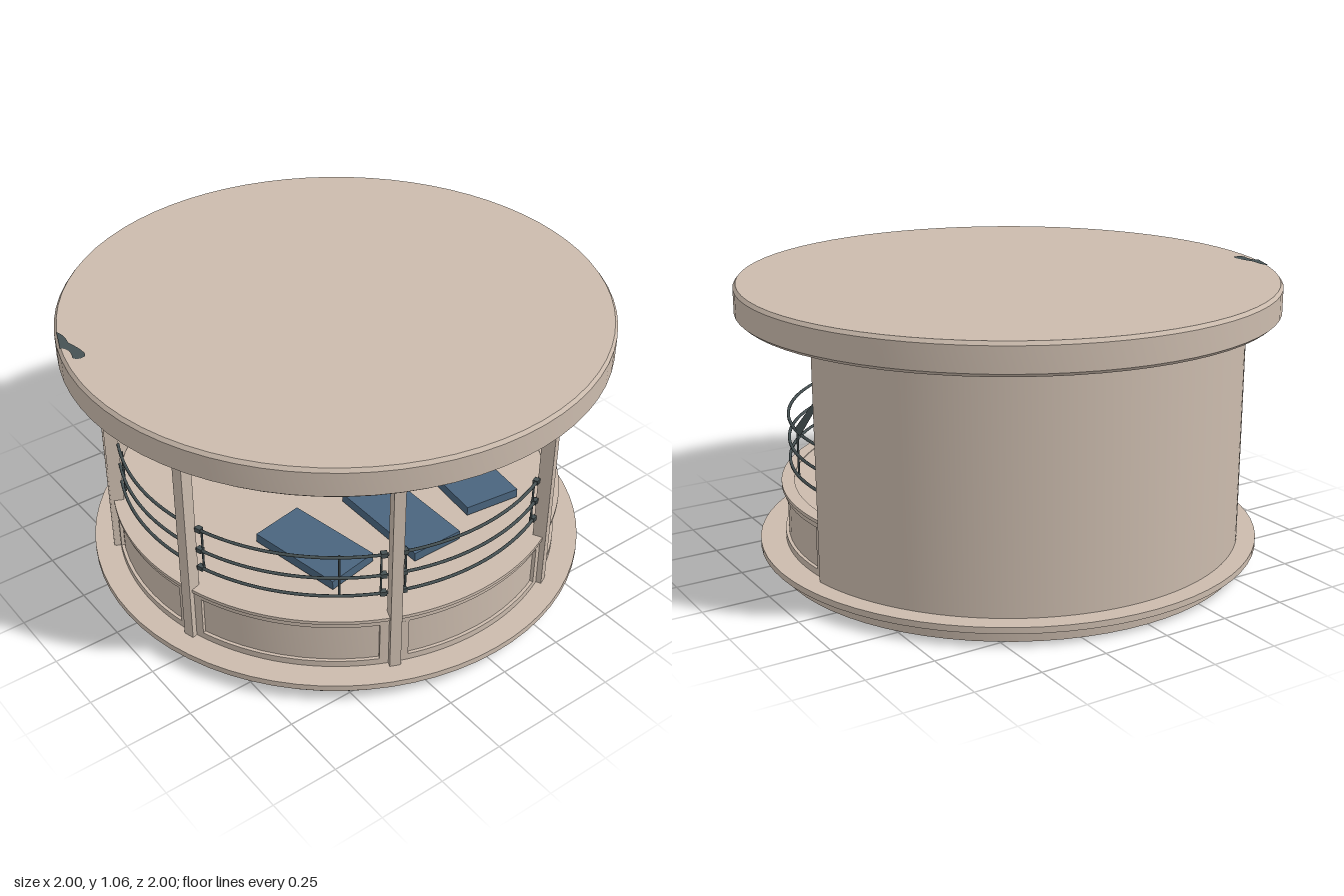
import * as THREE from 'three';
import { toCreasedNormals } from 'three/addons/utils/BufferGeometryUtils.js';

const RAD = Math.PI / 180;

function material(name, color, side = THREE.FrontSide) {
  const m = new THREE.MeshStandardMaterial({ color, side });
  m.name = name;
  return m;
}

// Point on a circle; 0 degrees is +x and 90 degrees is the front
const polar = (deg, r, y) => new THREE.Vector3(Math.cos(deg * RAD) * r, y, Math.sin(deg * RAD) * r);

// Curved solid between two radii, two heights and two angles
function arcSolid(r0, r1, y0, y1, a0, a1) {
  const s = new THREE.Shape();
  s.absarc(0, 0, r1, a0 * RAD, a1 * RAD, false);
  s.absarc(0, 0, r0, a1 * RAD, a0 * RAD, true);
  s.closePath();
  const steps = Math.max(4, Math.ceil((a1 - a0) / 5));
  const g = new THREE.ExtrudeGeometry(s, { depth: y1 - y0, bevelEnabled: false, curveSegments: steps });
  g.rotateX(Math.PI / 2).translate(0, y1, 0);
  return toCreasedNormals(g, 0.5);
}

// Solid round slab from a stepped profile
function slab(points) {
  const g = new THREE.LatheGeometry(points.map(([x, y]) => new THREE.Vector2(x, y)), 72);
  return toCreasedNormals(g, 0.5);
}

export function createModel() {
  const model = new THREE.Group();
  model.name = 'roundPavilion';
  const stone = material('warmStone', 0xcbbbad);
  const blue = material('cushionBlue', 0x4a657e);
  const dark = material('darkMetal', 0x465153, THREE.DoubleSide);

  const add = (name, geometry, mat, parent = model) => {
    const mesh = new THREE.Mesh(geometry, mat);
    mesh.name = name;
    parent.add(mesh);
    return mesh;
  };
  const group = (name) => {
    const g = new THREE.Group();
    g.name = name;
    model.add(g);
    return g;
  };
  // Box whose local z points outward from the centre
  const radialBox = (name, size, deg, r, y, mat, parent) => {
    const mesh = add(name, new THREE.BoxGeometry(...size), mat, parent);
    mesh.position.copy(polar(deg, r, y));
    mesh.rotation.y = (90 - deg) * RAD;
    return mesh;
  };

  const wallStart = -9;   // opening edge on the +x side
  const wallEnd = 204;    // opening edge on the -x side
  const postAngles = [64, 113, 164, 205];

  // Plinth with a projecting step
  add('base', slab([[0, 0], [0.895, 0], [0.9, 0.052], [0.945, 0.052], [0.945, 0.075], [0, 0.075]]), stone);

  // Roof disc with a slim top rim
  add('roof', slab([[0, 0.937], [0.985, 0.937], [1, 0.95], [1, 1.04], [0.99, 1.053], [0, 1.053]]), stone);

  // Tall curved back wall
  add('backWall', arcSolid(0.84, 0.875, 0.07, 0.94, wallEnd, 360 + wallStart), stone);

  // Raised deck and its low front wall
  add('deck', slab([[0, 0.07], [0.838, 0.07], [0.838, 0.29], [0, 0.29]]), stone);
  const parapet = group('parapet');
  add('bottomBand', arcSolid(0.82, 0.85, 0.075, 0.1, wallStart, wallEnd), stone, parapet);
  add('topBand', arcSolid(0.82, 0.85, 0.258, 0.28, wallStart, wallEnd), stone, parapet);
  add('ledge', arcSolid(0.81, 0.858, 0.28, 0.293, wallStart, wallEnd), stone, parapet);
  const edges = [wallStart, ...postAngles];
  edges.forEach((a) => {
    const from = Math.max(wallStart, a - 3.5);
    const to = Math.min(wallEnd, a + 3.5);
    add('stile', arcSolid(0.82, 0.85, 0.1, 0.258, from, to), stone, parapet);
  });

  // Slender roof posts
  const posts = group('posts');
  postAngles.forEach((a) => radialBox('post', [0.04, 0.87, 0.05], a, 0.845, 0.505, stone, posts));

  // Three curved rails carried on thin uprights
  const railing = group('railing');
  for (const y of [0.38, 0.46, 0.55]) {
    const pts = [];
    for (let a = wallStart; a <= wallEnd; a += 3) pts.push(polar(a, 0.822, y));
    add('rail', new THREE.TubeGeometry(new THREE.CatmullRomCurve3(pts), 90, 0.006, 6), dark, railing);
    // Brackets joining each rail to the posts
    for (const a of postAngles.slice(0, 3)) {
      for (const d of [-2.5, 2.5]) {
        radialBox('bracket', [0.022, 0.018, 0.02], a + d, 0.82, y, dark, railing);
      }
    }
  }
  for (const a of [10, 61, 67, 110, 116, 126, 161, 167, 200]) {
    const upright = add('upright', new THREE.CylinderGeometry(0.004, 0.004, 0.18, 6), dark, railing);
    upright.position.copy(polar(a, 0.815, 0.463));
  }

  // Slanted tapering brace rising from the railing to the wall
  const brace = new THREE.BufferGeometry().setFromPoints([
    new THREE.Vector3(0.81, 0.55, 0.15),
    new THREE.Vector3(0.83, 0.55, 0.06),
    new THREE.Vector3(0.775, 0.91, -0.235),
  ]);
  brace.computeVertexNormals();
  add('brace', brace, dark);

  // Blue cushions: x, z, width, depth, turn
  const cushions = group('cushions');
  [
    [-0.355, 0.345, 0.21, 0.38, 10],
    [0.005, 0.39, 0.21, 0.43, 0],
    [0.355, 0.345, 0.225, 0.38, -7],
  ].forEach(([x, z, w, d, turn]) => {
    const c = add('cushion', new THREE.BoxGeometry(w, 0.036, d), blue, cushions);
    c.position.set(x, 0.313, z);
    c.rotation.y = turn * RAD;
  });

  // Small ceiling lamps along the wall
  const lamps = group('lamps');
  for (const a of [0, -39, -64, -90, -116, -180]) {
    radialBox('lamp', [0.04, 0.036, 0.03], a, 0.775, 0.911, dark, lamps);
    radialBox('lampMount', [0.07, 0.014, 0.03], a, 0.775, 0.932, dark, lamps);
  }

  // Dark patch near the roof rim
  const patch = new THREE.Shape();
  patch.moveTo(-0.905, -0.405);
  patch.quadraticCurveTo(-0.89, -0.37, -0.905, -0.32);
  patch.quadraticCurveTo(-0.88, -0.23, -0.9, -0.21);
  patch.quadraticCurveTo(-0.93, -0.2, -0.94, -0.225);
  patch.quadraticCurveTo(-0.915, -0.28, -0.945, -0.305);
  patch.closePath();
  const patchGeometry = new THREE.ShapeGeometry(patch, 6);
  patchGeometry.rotateX(Math.PI / 2).translate(0, 1.056, 0);
  add('roofPatch', patchGeometry, dark);

  return model;
}
